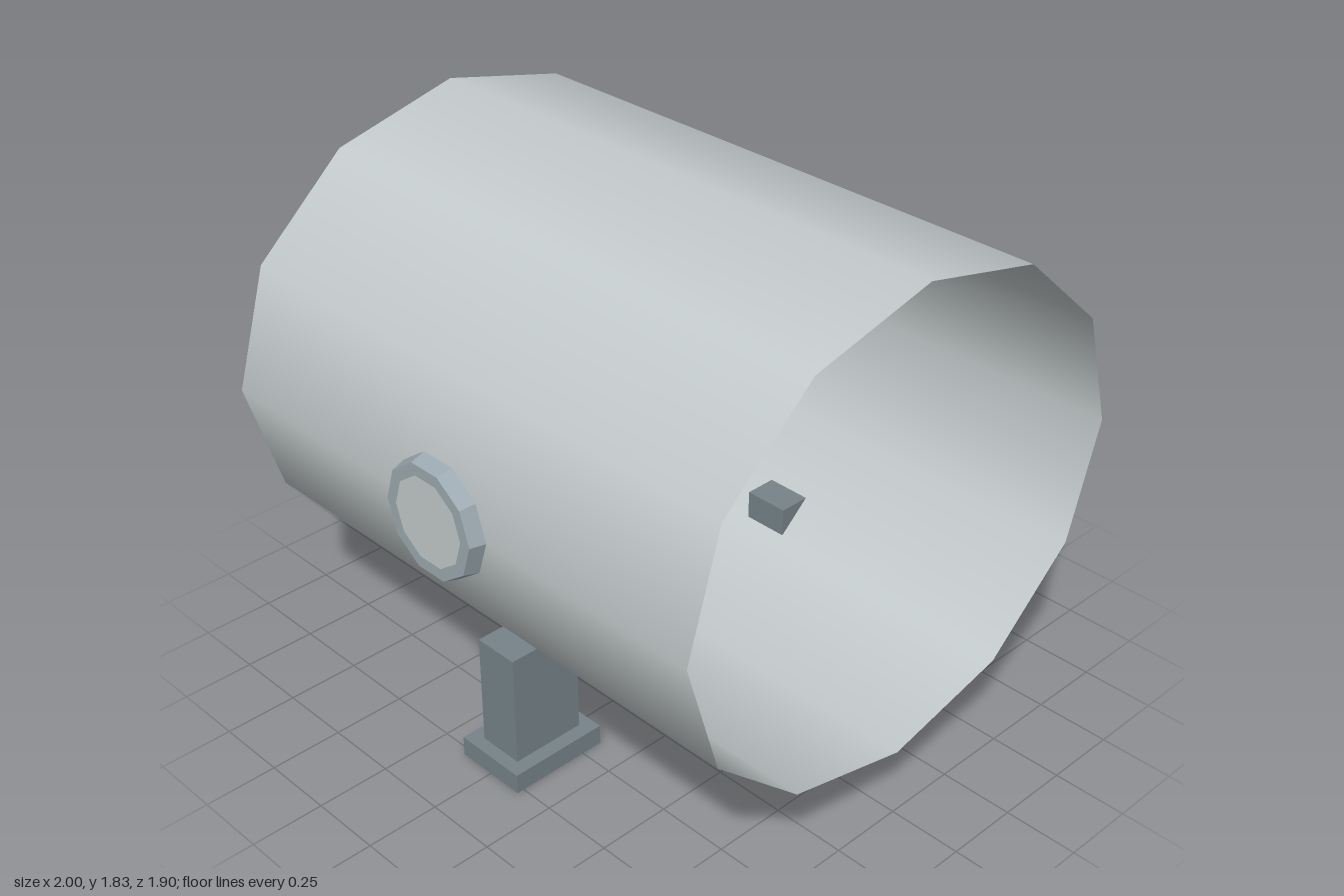
import * as THREE from 'three';
import { mergeGeometries } from 'three/addons/utils/BufferGeometryUtils.js';

const material = (name, color, side = THREE.FrontSide) => {
  const m = new THREE.MeshStandardMaterial({ color, side });
  m.name = name;
  return m;
};

function addMesh(parent, name, geometry, mat, x = 0, y = 0, z = 0) {
  const mesh = new THREE.Mesh(geometry, mat);
  mesh.name = name;
  mesh.position.set(x, y, z);
  parent.add(mesh);
  return mesh;
}

// Ten-sided tapered rim with a flat front ring
function rimGeometry() {
  const wall = new THREE.CylinderGeometry(0.186, 0.2, 0.05, 10, 1, true, Math.PI / 2);
  wall.rotateX(Math.PI / 2).translate(0, 0, 0.925);
  const face = new THREE.RingGeometry(0.146, 0.186, 10).translate(0, 0, 0.95);
  const rim = mergeGeometries([wall.toNonIndexed(), face.toNonIndexed()]);
  rim.computeVertexNormals();
  return rim;
}

export function createModel() {
  const model = new THREE.Group();
  model.name = 'tubeSection';
  const shell = material('pale grey shell', 0xc3cacb, THREE.DoubleSide);
  const rimGrey = material('blue grey rim', 0x9daab1);
  const legGrey = material('dark blue grey leg', 0x76838a);
  const centerY = 1.033;

  // Open twelve-sided oval tube along x
  const tube = new THREE.CylinderGeometry(1, 1, 2, 12, 1, true);
  tube.rotateZ(Math.PI / 2).scale(1, 0.798, 0.9);
  addMesh(model, 'tube', tube, shell, 0, centerY, 0);

  // Portholes on the front and back
  const rim = rimGeometry();
  const pane = new THREE.CircleGeometry(0.146, 10);
  for (const [side, turn] of [['front', 0], ['back', Math.PI]]) {
    const porthole = new THREE.Group();
    porthole.name = side + 'Porthole';
    porthole.position.y = centerY;
    porthole.rotation.y = turn;
    addMesh(porthole, 'rim', rim, rimGrey);
    addMesh(porthole, 'pane', pane, shell, 0, 0, 0.95);
    model.add(porthole);
  }

  // Legs with foot pads, reaching through the tube floor
  const post = new THREE.BoxGeometry(0.16, 0.39, 0.26);
  const pad = new THREE.BoxGeometry(0.26, 0.07, 0.35);
  for (const [side, z] of [['front', 0.6], ['back', -0.6]]) {
    const leg = new THREE.Group();
    leg.name = side + 'Leg';
    leg.position.z = z;
    addMesh(leg, 'post', post, legGrey, 0, 0.265, 0);
    addMesh(leg, 'footPad', pad, legGrey, 0, 0.035, 0);
    model.add(leg);
  }
  return model;
}
